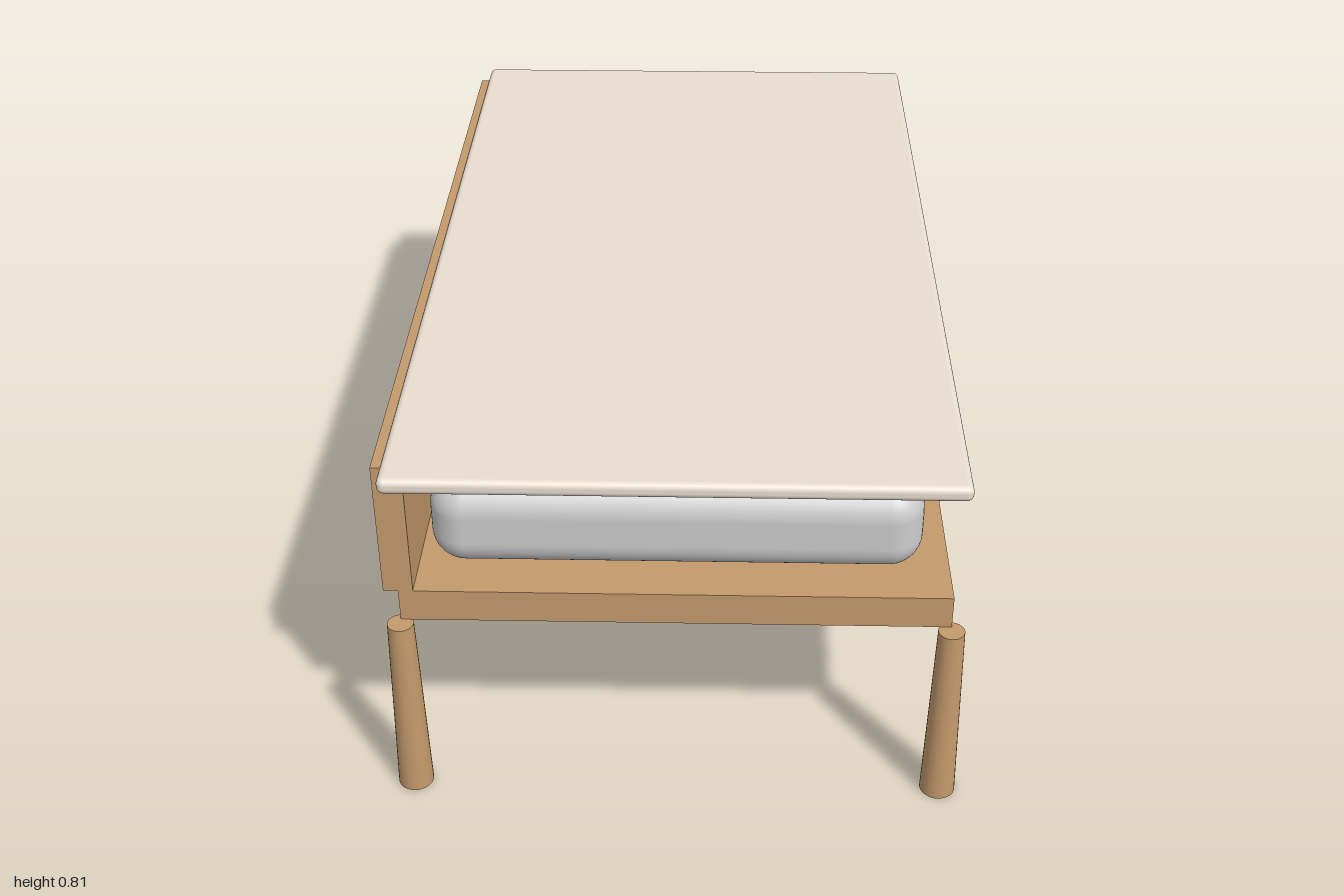
import * as THREE from 'three';
import { RoundedBoxGeometry } from 'three/addons/geometries/RoundedBoxGeometry.js';

const wood = new THREE.MeshStandardMaterial({ color: 0xc49a6c });
const stone = new THREE.MeshStandardMaterial({ color: 0xe8ddd0 });
const grey = new THREE.MeshStandardMaterial({ color: 0xcccccc });

export function createModel() {
  const group = new THREE.Group();

  const add = (name, geometry, material, x, y, z) => {
    const mesh = new THREE.Mesh(geometry, material);
    mesh.name = name;
    mesh.position.set(x, y, z);
    group.add(mesh);
  };

  // Box given by its limits on each axis, rounded when a radius is given
  const block = (name, material, [x0, x1], [y0, y1], [z0, z1], radius = 0) => {
    const size = [x1 - x0, y1 - y0, z1 - z0];
    const geometry = radius
      ? new RoundedBoxGeometry(...size, 6, radius)
      : new THREE.BoxGeometry(...size);
    add(name, geometry, material, (x0 + x1) / 2, (y0 + y1) / 2, (z0 + z1) / 2);
  };

  // Base board and the two upright panels; the other two sides stay open
  block('baseBoard', wood, [-0.557, 0.557], [0.427, 0.5], [-0.938, 0.938]);
  block('sidePanel', wood, [-0.587, -0.527], [0.5, 0.8], [-0.938, 0.938]);
  block('backPanel', wood, [-0.527, 0.543], [0.5, 0.8], [-0.985, -0.938]);

  // Soft block on the shelf and the rounded top slab
  block('cushion', grey, [-0.5, 0.5], [0.5, 0.7], [-0.875, 0.875], 0.07);
  block('tableTop', stone, [-0.567, 0.567], [0.778, 0.812], [-1, 1], 0.014);

  // Round legs, wider at the foot
  const legGeometry = new THREE.CylinderGeometry(0.027, 0.037, 0.427, 32);
  for (const [end, z] of [['front', 0.95], ['back', -0.95]]) {
    for (const [side, x] of [['Left', 0.556], ['Right', -0.556]]) {
      add(`${end}${side}Leg`, legGeometry, wood, x, 0.2135, z);
    }
  }
  return group;
}
